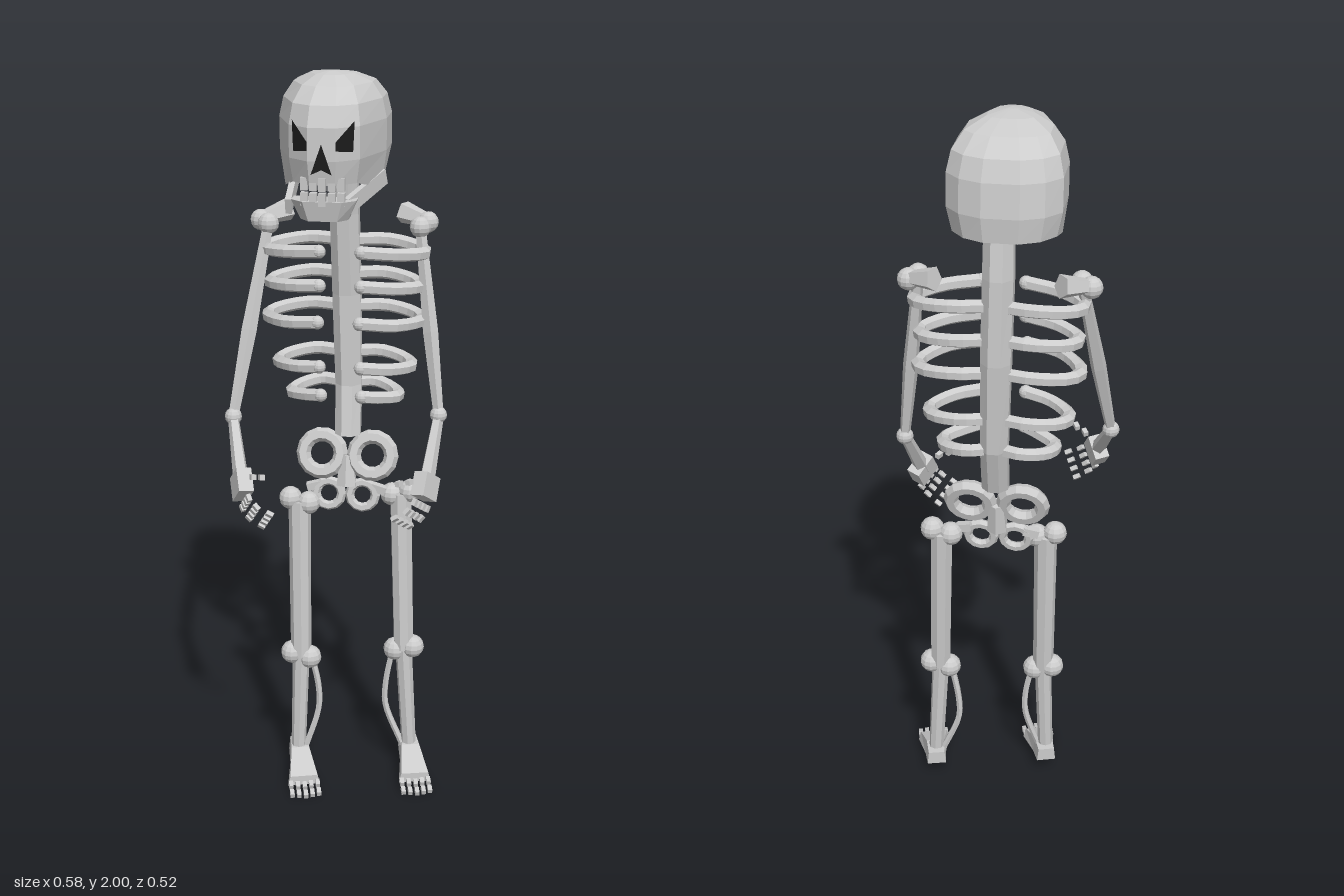
import * as THREE from 'three';

const bone = new THREE.MeshStandardMaterial({ color: 0xcccccc, flatShading: true });
const dark = new THREE.MeshStandardMaterial({ color: 0x1c1c1c, side: THREE.DoubleSide });
const V = (x, y, z) => new THREE.Vector3(x, y, z);

function add(parent, name, geometry, material = bone) {
  const mesh = new THREE.Mesh(geometry, material);
  mesh.name = name;
  parent.add(mesh);
  return mesh;
}

function ball(parent, name, p, r) {
  add(parent, name, new THREE.SphereGeometry(r, 12, 8)).position.copy(p);
}

// Tapered shaft from a to b
function shaft(parent, name, a, b, ra, rb, sides = 6) {
  const mesh = add(parent, name, new THREE.CylinderGeometry(rb, ra, a.distanceTo(b), sides).rotateX(Math.PI / 2));
  mesh.position.lerpVectors(a, b, 0.5);
  mesh.lookAt(b);
}

// Rectangular bar from a to b
function bar(parent, name, a, b, w, h) {
  const mesh = add(parent, name, new THREE.BoxGeometry(w, h, a.distanceTo(b)));
  mesh.position.lerpVectors(a, b, 0.5);
  mesh.lookAt(b);
}

function tube(parent, name, points, r) {
  add(parent, name, new THREE.TubeGeometry(new THREE.CatmullRomCurve3(points), 14, r, 6));
  ball(parent, name + 'Tip', points[points.length - 1], r);
}

// Skin over matching cross-sections, closed at both ends
function loft(rings) {
  const n = rings[0].length;
  const centre = ring => {
    const c = ring.reduce((s, p) => s.add(p), V(0, 0, 0)).divideScalar(n);
    return ring.map(() => c);
  };
  const all = [centre(rings[0]), ...rings, centre(rings[rings.length - 1])];
  const pos = all.flat().flatMap(p => [p.x, p.y, p.z]);
  const index = [];
  for (let k = 0; k < all.length - 1; k++) for (let i = 0; i < n; i++) {
    const a = k * n + i, b = k * n + (i + 1) % n;
    if (k > 0) index.push(a, b, b + n);
    if (k < all.length - 2) index.push(a, b + n, a + n);
  }
  const g = new THREE.BufferGeometry();
  g.setAttribute('position', new THREE.Float32BufferAttribute(pos, 3));
  g.setIndex(index);
  g.computeVertexNormals();
  return g;
}

function makeSkull() {
  const skull = new THREE.Group();
  skull.name = 'skull';
  skull.position.x = -0.018;
  // Plan outline, rescaled at each level: y, half width, front z, back z, drop of the cheeks
  const half = [[0.035, 0.122], [0.088, 0.075], [0.137, -0.07], [0.137, -0.19], [0.1, -0.232], [0.045, -0.255]];
  const plan = [...half, ...half.map(([x, z]) => [-x, z]).reverse()];
  const levels = [
    [1.84, 0.07, 0.04, -0.2, 0], [1.748, 0.112, 0.095, -0.235, 0.03], [1.74, 0.124, 0.115, -0.252, 0.035],
    [1.8, 0.137, 0.125, -0.256, 0], [1.88, 0.137, 0.122, -0.245, 0], [1.93, 0.126, 0.1, -0.225, 0],
    [1.968, 0.1, 0.045, -0.18, 0], [1.99, 0.055, -0.005, -0.115, 0], [1.997, 0.01, -0.04, -0.06, 0]];
  const isCheek = (x, z) => Math.abs(x) > 0.13 && z > -0.1;
  add(skull, 'cranium', loft(levels.map(([y, w, f, b, drop]) => plan.map(([x, z]) =>
    V(x * w / 0.137, isCheek(x, z) ? y - drop : y, b + (z + 0.255) / 0.377 * (f - b))))));

  // Dark openings laid on the face
  const opening = (name, pts) => {
    const g = new THREE.ShapeGeometry(new THREE.Shape(pts.map(p => new THREE.Vector2(...p))));
    const p = g.attributes.position;
    for (let i = 0; i < p.count; i++)
      p.setZ(i, 0.129 - Math.max(0, Math.abs(p.getX(i)) - 0.035) * 0.85);
    g.computeVertexNormals();
    add(skull, name, g, dark);
  };
  for (const s of [-1, 1])
    opening('eyeSocket', [[0.077, 1.895], [0.035, 1.847], [0.035, 1.826], [0.074, 1.82]].map(([x, y]) => [s * x, y]));
  opening('noseHole', [[0, 1.842], [0.026, 1.768], [0, 1.78], [-0.026, 1.768]]);

  // Teeth and open jaw
  for (let i = -2; i <= 2; i++) for (const y of [1.742, 1.705])
    add(skull, 'tooth', new THREE.BoxGeometry(0.018, 0.032, 0.018)).position.set(i * 0.023, y, 0.112 - Math.abs(i) * 0.005);
  const chin = (y, w, f, b) => [V(w * 0.6, y, f), V(w, y, f - 0.03), V(w, y, b), V(-w, y, b), V(-w, y, f - 0.03), V(-w * 0.6, y, f)];
  add(skull, 'chin', loft([chin(1.65, 0.06, 0.11, 0.03), chin(1.7, 0.082, 0.12, 0.045)]));
  for (const s of [-1, 1])
    bar(skull, 'jawSide', V(s * 0.072, 1.68, 0.08), V(s * 0.115, 1.735, -0.08), 0.016, 0.04);
  return skull;
}

function makeTorso() {
  const torso = new THREE.Group();
  torso.name = 'torso';
  // Spine with a bent lower end
  const ring = (x, y, z, rx, rz) => Array.from({ length: 8 }, (_, i) => {
    const a = (i + 0.5) * Math.PI / 4;
    return V(x + rx * Math.sin(a), y, z + rz * Math.cos(a));
  });
  add(torso, 'spine', loft([ring(0.015, 1.015, -0.125, 0.037, 0.038), ring(0.012, 1.15, -0.16, 0.038, 0.042),
    ring(0.005, 1.4, -0.17, 0.041, 0.044), ring(0, 1.62, -0.158, 0.041, 0.046), ring(0, 1.82, -0.13, 0.038, 0.044)]));

  // Ribs: height, widest x, front z
  const ribs = [[1.545, 0.212, -0.015], [1.455, 0.2, -0.015], [1.365, 0.207, 0.015], [1.237, 0.18, -0.01], [1.15, 0.145, -0.035]];
  for (const [y, w, f] of ribs) for (const s of [-1, 1])
    tube(torso, 'rib', [[0.02, 0, -0.17], [w * 0.5, 0, -0.185], [w * 0.9, -0.01, -0.15], [w, -0.014, -0.1],
      [w * 0.7, -0.008, f - 0.025], [0.055, 0, f]].map(([x, dy, z]) => V(0.008 + s * x, y + dy, z)), 0.018);

  // Shoulder blades, thicker towards the back
  shaft(torso, 'shoulderBlade', V(-0.222, 1.6, -0.14), V(-0.155, 1.617, -0.192), 0.018, 0.031, 5);
  shaft(torso, 'shoulderBlade', V(0.222, 1.603, -0.16), V(0.15, 1.618, -0.195), 0.018, 0.031, 5);

  // Pelvis of four rings around a hub
  for (const s of [-1, 1]) {
    const upper = add(torso, 'upperPelvisRing', new THREE.TorusGeometry(0.052, 0.02, 6, 14));
    upper.position.set(0.015 + s * 0.07, 0.957, -0.11);
    upper.rotation.x = -0.3;
    const lower = add(torso, 'lowerPelvisRing', new THREE.TorusGeometry(0.036, 0.013, 6, 12));
    lower.position.set(0.013 + s * 0.047, 0.845, -0.095);
    lower.rotation.x = -0.15;
    bar(torso, 'hipBar', V(0.015 + s * 0.07, 0.87, -0.1), V(0.015 + s * 0.11, 0.86, -0.095), 0.022, 0.022);
  }
  shaft(torso, 'pelvisHub', V(0.015, 0.955, -0.112), V(0.015, 0.87, -0.098), 0.022, 0.03);
  return torso;
}

// fwd: along the hand, side: towards the thumb, the fingers curl to the inner side
function makeHand(centre, fwd, side, inner) {
  const hand = new THREE.Group();
  hand.name = 'hand';
  const d = fwd.clone().normalize();
  const s = side.clone().addScaledVector(d, -side.dot(d)).normalize();
  const n = V(0, 0, 0).crossVectors(d, s).multiplyScalar(inner);
  const x = V(0, 0, 0).crossVectors(n, d);
  hand.quaternion.setFromRotationMatrix(new THREE.Matrix4().makeBasis(x, n, d));
  hand.position.copy(centre);
  const t = Math.sign(x.dot(s));
  add(hand, 'palm', new THREE.BoxGeometry(0.068, 0.04, 0.065));
  // Loose finger bones along a curl
  for (let f = 0; f < 4; f++) for (let j = 0; j < 3; j++) {
    const seg = add(hand, 'fingerBone', new THREE.BoxGeometry(0.012, 0.012, 0.019));
    seg.position.set((f - 1.5) * 0.021 * (1 + j * 0.1), 0.004 + j * j * 0.008 + j * 0.008, 0.052 + j * 0.03 - j * j * 0.003);
    seg.rotation.x = -0.25 - j * 0.4;
  }
  for (let j = 0; j < 2; j++) {
    const seg = add(hand, 'thumbBone', new THREE.BoxGeometry(0.02, 0.013, 0.014));
    seg.position.set(t * (0.058 + j * 0.026), 0.014 + j * 0.014, 0.005 + j * 0.012);
    seg.rotation.y = -t * 0.5;
  }
  return hand;
}

function makeArm(name, shoulders, elbow, palm, side, inner) {
  const arm = new THREE.Group();
  arm.name = name;
  shoulders.forEach(p => ball(arm, 'shoulderJoint', p, 0.028));
  const mid = shoulders[0].clone().lerp(elbow, 0.55);
  shaft(arm, 'upperArm', shoulders[0], mid, 0.014, 0.021, 5);
  shaft(arm, 'upperArm', mid, elbow, 0.021, 0.014, 5);
  ball(arm, 'elbow', elbow, 0.023);
  shaft(arm, 'forearm', elbow, palm, 0.015, 0.022, 5);
  arm.add(makeHand(palm, palm.clone().sub(elbow), side, inner));
  return arm;
}

function makeFoot(heel, turn) {
  const foot = new THREE.Group();
  foot.name = 'foot';
  foot.position.copy(heel);
  foot.rotation.y = turn;
  const section = (z, w, y0, y1) => [V(w, y0, z), V(w * 0.85, y1, z), V(-w * 0.85, y1, z), V(-w, y0, z)];
  add(foot, 'footBody', loft([section(0, 0.027, 0.045, 0.085), section(0.06, 0.03, 0.032, 0.082), section(0.15, 0.046, 0.014, 0.042)]));
  for (let i = -2; i <= 2; i++) for (let j = 0; j < 2; j++) {
    const toe = add(foot, 'toeBone', new THREE.BoxGeometry(0.012, 0.014, 0.02));
    toe.position.set(i * 0.019, 0.02 - j * 0.01, 0.166 + j * 0.028 - Math.abs(i) * 0.004);
    toe.rotation.x = 0.3;
  }
  return foot;
}

// s points from the leg towards the middle of the body
function makeLeg(name, hip, knee, ankle, s, turn) {
  const leg = new THREE.Group();
  leg.name = name;
  const pair = (label, p, r) => {
    for (const k of [-1, 1]) ball(leg, label, V(p.x + k * 0.025, p.y - s * k * 0.006, p.z), r);
  };
  pair('hipJoint', hip, 0.032);
  pair('kneeJoint', knee, 0.033);
  shaft(leg, 'thigh', hip, knee, 0.031, 0.029, 8);
  shaft(leg, 'shin', knee, ankle, 0.024, 0.021, 8);
  tube(leg, 'calfBone', [V(knee.x + s * 0.03, knee.y, knee.z), V(knee.x + s * 0.05, 0.27, knee.z),
    V(knee.x + s * 0.05, 0.2, knee.z), V(ankle.x + s * 0.02, 0.07, ankle.z)], 0.009);
  leg.add(makeFoot(V(ankle.x - 0.008, 0, ankle.z - 0.038), turn));
  return leg;
}

export function createModel() {
  const model = new THREE.Group();
  model.name = 'skeleton';
  model.add(makeSkull(), makeTorso());
  model.add(makeArm('rightArm', [V(-0.195, 1.595, -0.105), V(-0.222, 1.597, -0.141)],
    V(-0.267, 1.11, 0.053), V(-0.22, 0.97, 0.185), V(0.35, 0.75, 0.5), -1));
  model.add(makeArm('leftArm', [V(0.204, 1.595, -0.118), V(0.22, 1.6, -0.16)],
    V(0.268, 1.105, -0.052), V(0.247, 0.942, 0.06), V(-0.45, 0.3, 0.8), 1));
  model.add(makeLeg('rightLeg', V(-0.11, 0.835, -0.055), V(-0.105, 0.37, -0.03), V(-0.113, 0.07, -0.018), 1, 0.28));
  model.add(makeLeg('leftLeg', V(0.165, 0.853, -0.108), V(0.183, 0.388, -0.08), V(0.203, 0.07, -0.08), -1, 0.25));
  return model;
}
